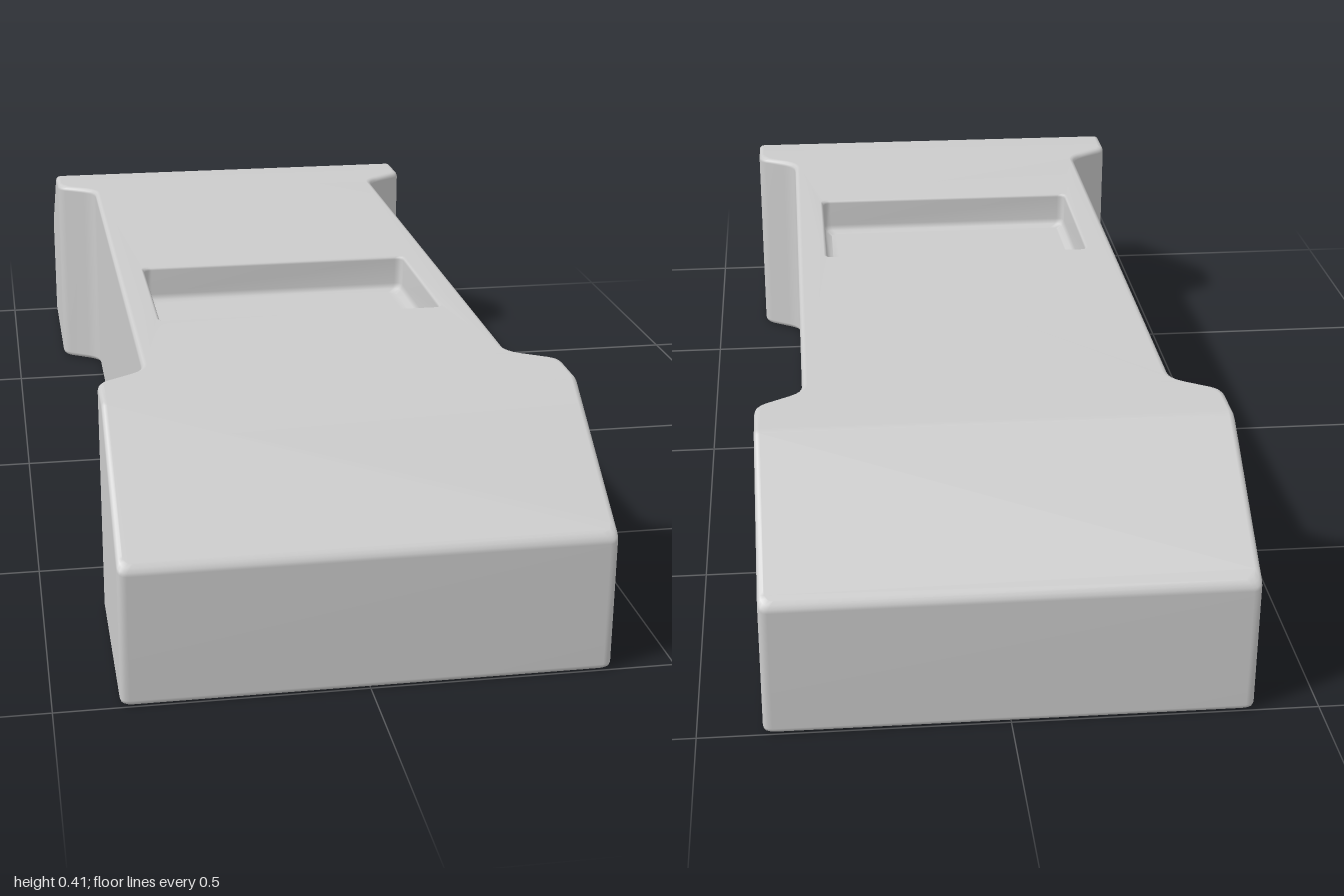
import * as THREE from 'three';
import { mergeVertices } from 'three/addons/utils/BufferGeometryUtils.js';

const H = 0.408;      // deck height
const BEVEL = 0.01;   // edge rounding
const RIDGE = 0.74;   // where the end slopes begin
const SLOPE = 0.677;

// Height of the upper surface at a plan position; plan v is -z.
const topAt = v => H - SLOPE * Math.max(0, Math.abs(v) - RIDGE);

// Counter-clockwise plan ring from [x, v, cornerRadius], moved inwards by d, corners rounded.
function ring(corners, d) {
  const n = corners.length;
  const at = i => corners[(i + n) % n];
  const normal = (a, b) => new THREE.Vector2(a[1] - b[1], b[0] - a[0]).normalize();
  const moved = corners.map((c, i) => {
    const n1 = normal(at(i - 1), c), n2 = normal(c, at(i + 1));
    const k = d / (1 + n1.dot(n2));
    return new THREE.Vector2(c[0] + (n1.x + n2.x) * k, c[1] + (n1.y + n2.y) * k);
  });
  return moved.flatMap((p, i) => {
    const r = corners[i][2] || 0;
    if (!r) return [p];
    const toward = q => p.clone().add(q.clone().sub(p).setLength(r));
    const a = toward(moved[(i + n - 1) % n]), b = toward(moved[(i + 1) % n]);
    return new THREE.QuadraticBezierCurve(a, p, b).getPoints(4);
  });
}

function createBody() {
  const pos = [];
  const tri = (...pts) => pts.forEach(p => pos.push(p.x, p.y, p.z));
  const lift = (pts, h) => pts.map(p => new THREE.Vector3(p.x, h(p.y), -p.y));

  // Walls between successive rings
  const loft = rings => {
    for (let k = 0; k + 1 < rings.length; k++) {
      const a = rings[k], b = rings[k + 1];
      a.forEach((_, i) => {
        const j = (i + 1) % a.length;
        tri(a[i], a[j], b[j]);
        tri(a[i], b[j], b[i]);
      });
    }
  };

  // Flat or sloping face filling a plan contour
  const cap = (contour, h, up = true, holes = []) => {
    const pts = [contour, ...holes].flat();
    const lifted = lift(pts, h);
    for (const [a, b, c] of THREE.ShapeUtils.triangulateShape(contour, holes)) {
      const ccw = THREE.ShapeUtils.area([pts[a], pts[b], pts[c]]) > 0;
      if (ccw === up) tri(lifted[a], lifted[b], lifted[c]);
      else tri(lifted[a], lifted[c], lifted[b]);
    }
  };

  // Waisted plan outline, mirrored from one quarter
  const R0 = RIDGE - 0.005, R1 = RIDGE + 0.005;
  const quarter = [
    [0.395, -1, 0.015], [0.395, -R1], [0.395, -R0],
    [0.395, -0.645, 0.018], [0.315, -0.595, 0.03],
  ];
  const right = [...quarter, ...quarter.map(([x, v, r]) => [x, -v, r]).reverse()];
  const outline = [...right, ...right.map(([x, v, r]) => [-x, -v, r])];

  // Rounded lower and upper edges
  const steps = [0, 1, 2, 3].map(i => {
    const t = i / 3 * Math.PI / 2;
    return { inset: BEVEL * (1 - Math.sin(t)), drop: BEVEL * (1 - Math.cos(t)) };
  });
  const lower = steps.map(s => lift(ring(outline, s.inset), () => s.drop));
  const upper = [...steps].reverse().map(s => lift(ring(outline, s.inset), v => topAt(v) - s.drop));
  loft([...lower, ...upper]);

  const edge = ring(outline, BEVEL);
  cap(edge, () => 0, false);

  // Recessed panel in the deck
  const panel = [
    [-0.26, -0.342, 0.015], [0.257, -0.342, 0.015],
    [0.257, -0.02, 0.015], [-0.26, -0.02, 0.015],
  ];
  const depth = 0.07;
  const section = [
    [-0.006, 0], [-0.002, 0.002], [0, 0.006],
    [0, depth - 0.015], [0.005, depth - 0.005], [0.015, depth],
  ];
  loft(section.map(([d, y]) => lift(ring(panel, d), () => H - y)));
  cap(ring(panel, 0.015), () => H - depth);

  // Top faces: slope, softened ridge, deck, ridge, slope
  const breaks = [-1, -R1, -R0, R0, R1, 1];
  for (let i = 0; i < 5; i++) {
    const part = edge.filter(p => p.y > breaks[i] - 1e-6 && p.y < breaks[i + 1] + 1e-6);
    cap(part, topAt, true, i === 2 ? [ring(panel, -0.006)] : []);
  }

  // Shared vertices give area-weighted normals: flat faces with soft edges
  let geo = new THREE.BufferGeometry();
  geo.setAttribute('position', new THREE.Float32BufferAttribute(pos, 3));
  geo = mergeVertices(geo, 1e-5);
  geo.computeVertexNormals();
  return geo;
}

export function createModel() {
  const group = new THREE.Group();
  group.name = 'block';
  const body = new THREE.Mesh(createBody(), new THREE.MeshStandardMaterial({ color: 0xcccccc }));
  body.name = 'recessedBody';
  group.add(body);
  return group;
}
